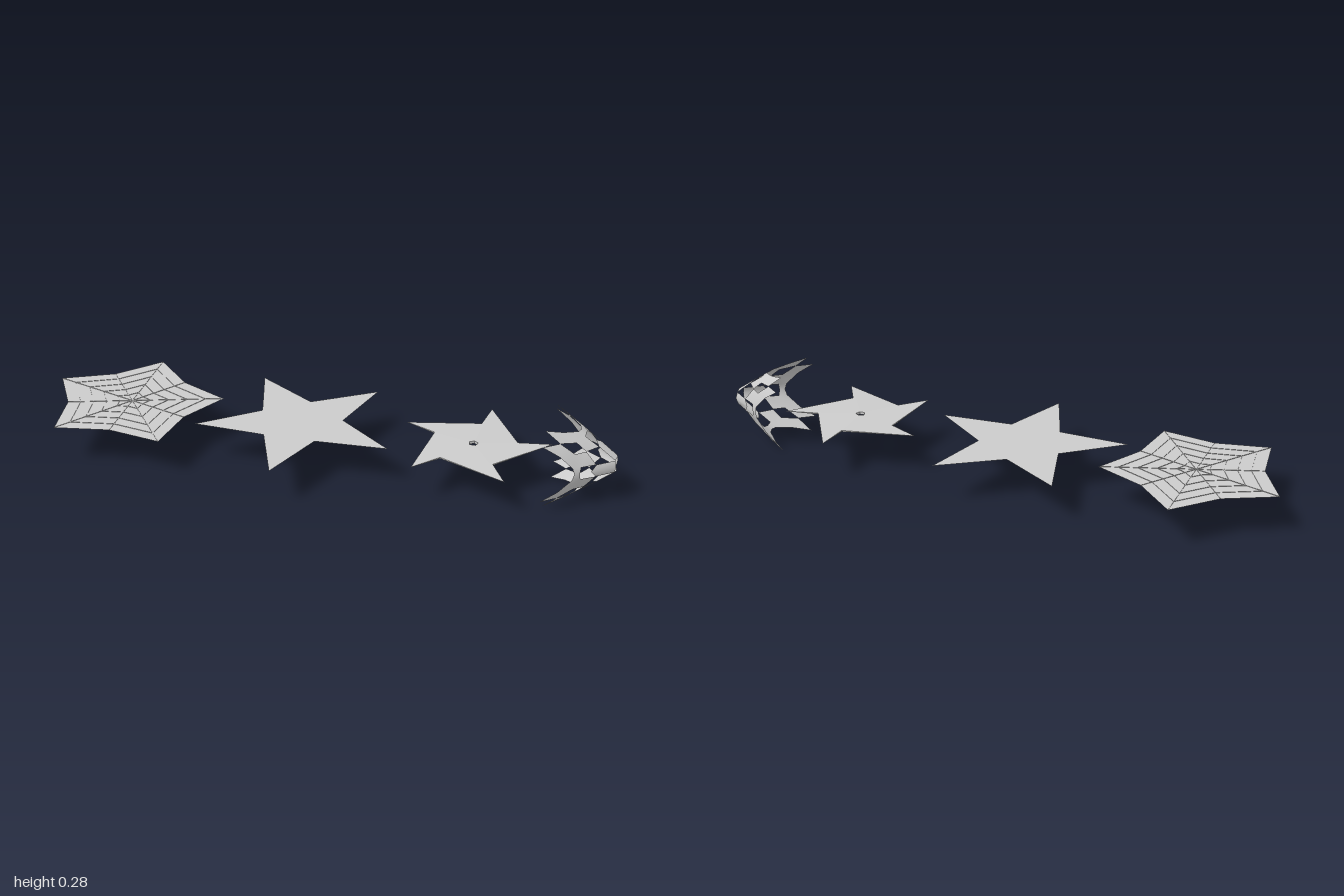
import * as THREE from 'three';

const Y = 0.146;
const grey = (extra = {}) =>
  new THREE.MeshStandardMaterial({ color: 0xcccccc, side: THREE.DoubleSide, ...extra });

function add(parent, name, geometry, extra) {
  const mesh = new THREE.Mesh(geometry, grey(extra));
  mesh.name = name;
  parent.add(mesh);
  return mesh;
}

// Alternating tips and valleys; the first tip points along z * dir
function starPoints(outer, inner, dir) {
  return Array.from({ length: 10 }, (_, i) => {
    const a = (i * Math.PI) / 5, r = i % 2 ? inner : outer;
    return new THREE.Vector2(r * Math.sin(a), dir * r * Math.cos(a));
  });
}

// Flat star lying in the xz plane
function flatStar(points) {
  const shape = new THREE.Shape(points.map((p) => new THREE.Vector2(p.x, -p.y)));
  return new THREE.ShapeGeometry(shape).rotateX(-Math.PI / 2);
}

// Hairline strand between two points of the web
function strand(parent, name, a, b) {
  const d = b.clone().sub(a);
  const mesh = add(parent, name, new THREE.BoxGeometry(d.length(), 0.003, 0.001));
  mesh.position.set((a.x + b.x) / 2, 0, (a.y + b.y) / 2);
  mesh.rotation.y = -Math.atan2(d.y, d.x);
}

function webStar() {
  const group = new THREE.Group();
  group.name = 'webStar';
  const points = starPoints(0.32, 0.225, -1);
  add(group, 'webSheet', flatStar(points));
  const centre = new THREE.Vector2();
  points.forEach((p, i) => {
    const q = points[(i + 1) % 10];
    strand(group, 'webSpoke', centre, p);
    for (const s of [0.2, 0.4, 0.6, 0.8])
      strand(group, 'webRing', p.clone().multiplyScalar(s), q.clone().multiplyScalar(s));
  });
  return group;
}

// Swept five-blade star with a centre hole, thinning towards the tips
function bladedStar() {
  const positions = [], index = [], n = 10;
  for (let i = 0; i < n; i++) {
    const a = THREE.MathUtils.degToRad(270 + 72 * Math.floor(i / 2) + (i % 2 ? 3 : 0));
    const r = i % 2 ? 0.267 : 0.15;
    for (const [rad, side] of [[0.016, 1], [r, 1], [r, -1], [0.016, -1]])
      positions.push(rad * Math.cos(a), side * 0.005 * (1 - rad / 0.28), rad * Math.sin(a));
    const j = (i + 1) % n;
    for (let k = 0; k < 4; k++) {
      const l = (k + 1) % 4;
      index.push(i * 4 + k, j * 4 + k, i * 4 + l, j * 4 + k, j * 4 + l, i * 4 + l);
    }
  }
  const g = new THREE.BufferGeometry();
  g.setAttribute('position', new THREE.Float32BufferAttribute(positions, 3));
  g.setIndex(index);
  const flat = g.toNonIndexed();
  flat.computeVertexNormals();
  return flat;
}

// Domed checkerboard net: one quadrant of grid offsets, mirrored both ways
function domedNet() {
  const table = [
    [0, 0, 0, 0, 0],
    [15, 12, 12, 12, 12],
    [43, 36, 36, 36, 36],
    [55, 53, 51, 56, 56],
    [61, 62, 69, 78, 78],
  ];
  const offset = (a, b) => (Math.sign(a) * table[Math.abs(a)][Math.abs(b)]) / 548;
  const positions = [], index = [];
  for (let b = -4; b <= 4; b++)
    for (let a = -4; a <= 4; a++) {
      const z = offset(a, b), y = offset(b, a), r = Math.hypot(y, z);
      positions.push(1.04 - 1.37 * r - 0.9 * r * r, y, z);
    }
  // Cell number from its lower grid line; the middle cell spans two steps
  const cell = (k) => (k < 0 ? -k - 1 : k);
  for (let b = -4; b < 4; b++)
    for (let a = -4; a < 4; a++) {
      const i = cell(a), j = cell(b);
      const rim = i === 3 || j === 3;
      const filled = rim ? i !== j : (i + j) % 2 === 1;
      if (!filled) continue;
      const p = (b + 4) * 9 + a + 4;
      index.push(p, p + 9, p + 1, p + 1, p + 9, p + 10);
    }
  const g = new THREE.BufferGeometry();
  g.setAttribute('position', new THREE.Float32BufferAttribute(positions, 3));
  g.setIndex(index);
  g.computeVertexNormals();
  return g;
}

export function createModel() {
  const model = new THREE.Group();
  model.name = 'throwingStarsAndNet';

  const web = webStar();
  web.position.set(-0.696, Y, -0.02);
  model.add(web);

  add(model, 'flatStar', flatStar(starPoints(0.357, 0.152, 1))).position.set(-0.09, Y, -0.025);
  add(model, 'bladedStar', bladedStar(), { flatShading: true }).position.set(0.52, Y, -0.022);
  add(model, 'domedNet', domedNet()).position.set(0, 0.144, -0.021);

  return model;
}
